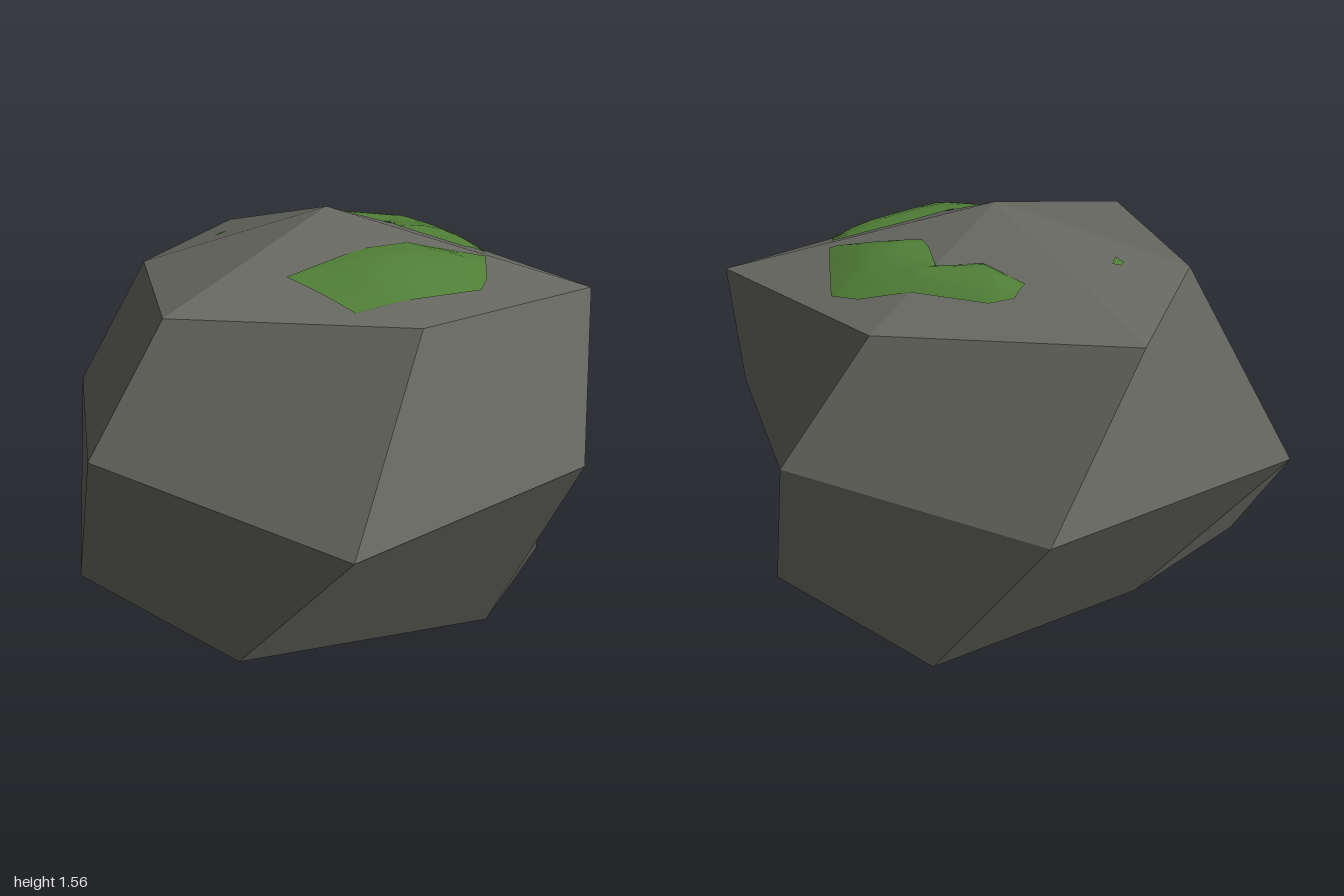
import * as THREE from 'three';

const APEX = [0.03, 1.56, -0.1];
const NADIR = [0.03, 0, -0.1];
const TOP = [[-0.47, 1.325, -0.73], [0.38, 1.315, -0.67], [0.94, 1.315, -0.14], [0.44, 1.305, 0.39], [-0.37, 1.34, 0.56], [-0.62, 1.335, -0.07]];
const MID = [[-0.2, 0.77, -1], [0.7, 0.8, -0.6], [0.965, 0.77, 0.14], [0.33, 0.75, 0.99], [-0.69, 0.765, 0.43], [-0.97, 0.77, -0.36]];
const LOW = [[0.18, 0.245, -0.88], [0.79, 0.23, -0.34], [0.67, 0.255, 0.32], [-0.11, 0.2, 0.68], [-0.83, 0.2, 0.17], [-0.47, 0.27, -0.41]];

// Faceted boulder: three uneven six-sided rings, each facet with one normal
function boulderGeometry() {
  const pos = [], nor = [];
  const vec = (p) => new THREE.Vector3(...p);
  const face = (corners, order) => {
    const [a, b, c, d] = corners.map(vec);
    const n = d
      ? c.clone().sub(a).cross(d.clone().sub(b)).normalize()
      : b.clone().sub(a).cross(c.clone().sub(a)).normalize();
    for (const k of order) {
      pos.push(...corners[k]);
      nor.push(n.x, n.y, n.z);
    }
  };
  for (let i = 0; i < 6; i++) {
    const j = (i + 1) % 6;
    const split = i >= 1 && i <= 3 ? [0, 1, 2, 0, 2, 3] : [0, 1, 3, 1, 2, 3];
    face([TOP[j], TOP[i], APEX], [0, 1, 2]);
    face([TOP[i], TOP[j], MID[j], MID[i]], split);
    face([MID[i], MID[j], LOW[j], LOW[i]], split);
    face([LOW[i], LOW[j], NADIR], [0, 1, 2]);
  }
  const g = new THREE.BufferGeometry();
  g.setAttribute('position', new THREE.Float32BufferAttribute(pos, 3));
  g.setAttribute('normal', new THREE.Float32BufferAttribute(nor, 3));
  return g;
}

// Height of the boulder's crown above a ground point
function crownHeight(x, z) {
  const px = x - APEX[0], pz = z - APEX[2];
  for (let i = 0; i < 6; i++) {
    const a = TOP[i], b = TOP[(i + 1) % 6];
    const ax = a[0] - APEX[0], az = a[2] - APEX[2];
    const bx = b[0] - APEX[0], bz = b[2] - APEX[2];
    const det = ax * bz - az * bx;
    const s = (px * bz - pz * bx) / det, t = (ax * pz - az * px) / det;
    if (s >= 0 && t >= 0) return APEX[1] + s * (a[1] - APEX[1]) + t * (b[1] - APEX[1]);
  }
  return APEX[1];
}

// Moss cushion: strip between two edges, swelling above the crown
function mossGeometry(stations, height) {
  const across = 6, sub = 3, pos = [], idx = [];
  const rows = (stations.length - 1) * sub;
  for (let r = 0; r <= rows; r++) {
    const k = Math.min(Math.floor(r / sub), stations.length - 2);
    const f = r / sub - k;
    const [x0, z0, x1, z1] = stations[k].map((v, n) => v + (stations[k + 1][n] - v) * f);
    const taper = Math.min(1, 0.15 + Math.min(r, rows - r) / sub);
    for (let c = 0; c <= across; c++) {
      const t = c / across;
      const x = x0 + (x1 - x0) * t, z = z0 + (z1 - z0) * t;
      pos.push(x, crownHeight(x, z) + 0.004 + height * taper * Math.sin(Math.PI * t), z);
    }
  }
  const w = across + 1;
  for (let r = 0; r < rows; r++) {
    for (let c = 0; c < across; c++) {
      const p = r * w + c;
      idx.push(p, p + w, p + 1, p + 1, p + w, p + w + 1);
    }
  }
  const g = new THREE.BufferGeometry();
  g.setAttribute('position', new THREE.Float32BufferAttribute(pos, 3));
  g.setIndex(idx);
  g.computeVertexNormals();
  return g;
}

export function createModel() {
  const group = new THREE.Group();
  group.name = 'mossyBoulder';
  const stone = new THREE.MeshStandardMaterial({ color: 0x666660 });
  stone.name = 'stone';
  const moss = new THREE.MeshStandardMaterial({ color: 0x4f7d36, side: THREE.DoubleSide });
  moss.name = 'moss';
  const add = (name, geometry, material) => {
    const mesh = new THREE.Mesh(geometry, material);
    mesh.name = name;
    group.add(mesh);
  };

  add('boulder', boulderGeometry(), stone);

  // Each station gives one edge (x, z) and the opposite edge (x, z)
  add('backMoss', mossGeometry([
    [-0.09, -0.47, -0.06, -0.53], [0.05, -0.38, 0.02, -0.55], [0.2, -0.39, 0.27, -0.5],
    [0.21, -0.36, 0.44, -0.48], [0.23, -0.29, 0.535, -0.43], [0.26, -0.23, 0.56, -0.29],
    [0.5, -0.175, 0.58, -0.16],
  ], 0.035), moss);
  add('frontMoss', mossGeometry([
    [0.22, 0.385, -0.03, 0.28], [0.38, 0.27, 0.14, 0.12],
    [0.59, 0.09, 0.32, -0.04], [0.6, 0.02, 0.58, -0.11],
  ], 0.035), moss);
  add('mossSpeck', mossGeometry([
    [-0.4, -0.22, -0.39, -0.25], [-0.37, -0.2, -0.36, -0.26],
  ], 0.005), moss);
  return group;
}
